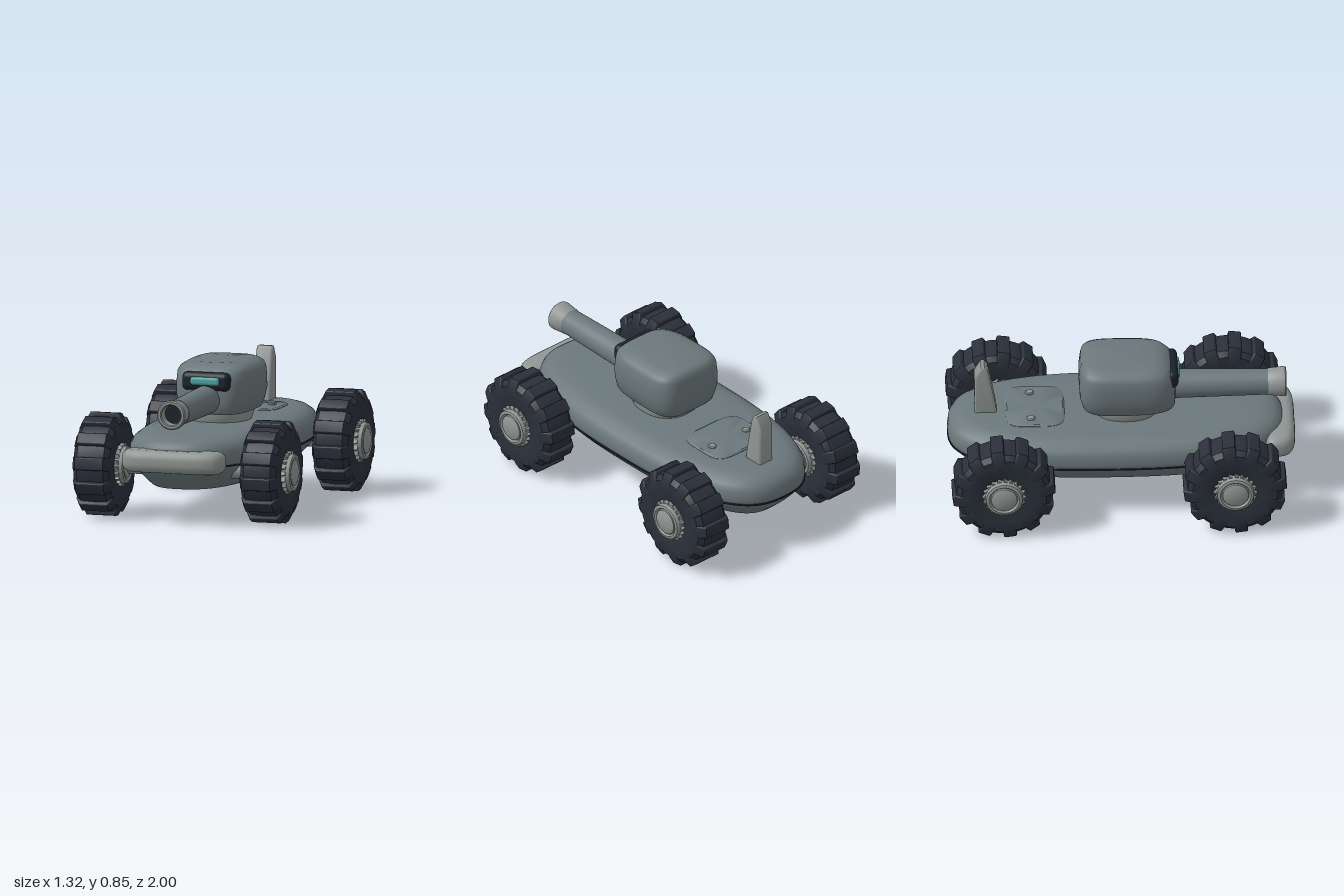
import * as THREE from 'three';
import { toCreasedNormals } from 'three/addons/utils/BufferGeometryUtils.js';
import { RoundedBoxGeometry } from 'three/addons/geometries/RoundedBoxGeometry.js';

const mat = (color) => new THREE.MeshStandardMaterial({ color });
const HULL = mat(0x6b787b), LIGHT = mat(0x8f9693), DARK = mat(0x1c232b), RUBBER = mat(0x2a303a), GLASS = mat(0x4fa8a3);

function add(parent, name, geometry, material, x = 0, y = 0, z = 0) {
  const mesh = new THREE.Mesh(geometry, material);
  mesh.name = name;
  mesh.position.set(x, y, z);
  parent.add(mesh);
  return mesh;
}

// Stacked superellipse rings [y, halfX, halfZ, centreZ], closed at both ends
function loft(rings, power, crease = 0.6, seg = 64) {
  const pos = [], idx = [];
  for (const [y, hx, hz, cz] of rings) {
    for (let i = 0; i < seg; i++) {
      const a = (i / seg) * Math.PI * 2, c = Math.cos(a), s = Math.sin(a);
      pos.push(hx * Math.sign(c) * Math.abs(c) ** (2 / power), y, cz + hz * Math.sign(s) * Math.abs(s) ** (2 / power));
    }
  }
  const last = (rings.length - 1) * seg, low = rings.length * seg, high = low + 1;
  pos.push(0, rings[0][0], rings[0][3], 0, rings.at(-1)[0], rings.at(-1)[3]);
  for (let i = 0; i < seg; i++) {
    const k = (i + 1) % seg;
    for (let j = 0; j < last; j += seg) {
      idx.push(j + i, j + seg + i, j + k, j + k, j + seg + i, j + seg + k);
    }
    idx.push(low, i, k, high, last + k, last + i);
  }
  const g = new THREE.BufferGeometry();
  g.setAttribute('position', new THREE.Float32BufferAttribute(pos, 3));
  g.setIndex(idx);
  return toCreasedNormals(g, crease);
}

function lathe(points, seg = 40) {
  return toCreasedNormals(new THREE.LatheGeometry(points.map(([r, y]) => new THREE.Vector2(r, y)), seg), 0.6);
}

// Extrusion centred on its depth, including the bevel
function slab(points, depth, bevel = 0, curved = false) {
  const v = points.map(([x, y]) => new THREE.Vector2(x, y));
  const shape = new THREE.Shape(curved ? new THREE.CatmullRomCurve3(v.map((p) => new THREE.Vector3(p.x, p.y, 0)), true)
    .getPoints(40).slice(0, -1).map((p) => new THREE.Vector2(p.x, p.y)) : v);
  const g = new THREE.ExtrudeGeometry(shape, {
    depth: depth - 2 * bevel, bevelEnabled: bevel > 0, bevelSize: bevel, bevelThickness: bevel, bevelOffset: -bevel, bevelSegments: 4,
  });
  g.translate(0, 0, -(depth - 2 * bevel) / 2);
  return toCreasedNormals(g, 0.7);
}

function makeWheel() {
  const wheel = new THREE.Group();
  // Tyre carcass
  const tyre = lathe([[0.09, -0.09], [0.13, -0.1], [0.2, -0.11], [0.245, -0.108], [0.272, -0.08], [0.276, 0],
    [0.272, 0.08], [0.245, 0.108], [0.2, 0.11], [0.13, 0.1], [0.09, 0.09]], 48);
  add(wheel, 'tyre', tyre.rotateZ(-Math.PI / 2), RUBBER);
  // Tread blocks
  const block = slab([[-0.11, 0.2], [0.11, 0.2], [0.11, 0.25], [0.085, 0.296], [-0.085, 0.296], [-0.11, 0.25]], 0.075, 0.008);
  for (let i = 0; i < 12; i++) {
    add(wheel, 'treadBlock', block, RUBBER).rotation.x = (i / 12) * Math.PI * 2 + 0.13;
  }
  // Hub with a ratchet-toothed disc on each face
  const hub = lathe([[0, -0.155], [0.05, -0.153], [0.074, -0.143], [0.078, -0.135], [0.088, -0.146], [0.104, -0.142], [0.108, -0.13],
    [0.108, 0.13], [0.104, 0.142], [0.088, 0.146], [0.078, 0.135], [0.074, 0.143], [0.05, 0.153], [0, 0.155]]);
  add(wheel, 'hub', hub.rotateZ(-Math.PI / 2), LIGHT);
  const teeth = [];
  for (let i = 0; i < 20; i++) {
    const a = (i / 20) * Math.PI * 2;
    teeth.push([0.125 * Math.cos(a), 0.125 * Math.sin(a)], [0.102 * Math.cos(a + 0.05), 0.102 * Math.sin(a + 0.05)]);
  }
  const disc = slab(teeth, 0.24).rotateY(Math.PI / 2);
  add(wheel, 'toothedDisc', disc, LIGHT);
  return wheel;
}

export function createModel() {
  const model = new THREE.Group();

  // Hull, rounded in plan, with a dark seam around its widest level
  const hullRings = [[0.195, 0.14], [0.203, 0.125], [0.25, 0.075], [0.3, 0.03], [0.34, 0.004], [0.37, 0],
    [0.42, 0.006], [0.455, 0.025], [0.48, 0.06], [0.494, 0.11], [0.5, 0.18]]
    .map(([y, inset]) => [y, 0.425 - inset, 0.97 - inset, -0.028]);
  add(model, 'hull', loft(hullRings, 2.6, 0.9, 96), HULL);
  add(model, 'hullSeam', loft([[0.335, 0.426, 0.971, -0.028], [0.345, 0.426, 0.971, -0.028]], 2.6, 0.6, 96), DARK);

  // Rear deck hatch with two bolts
  add(model, 'hatch', loft([[0.48, 0.205, 0.17, -0.495], [0.502, 0.205, 0.17, -0.495], [0.509, 0.195, 0.16, -0.495]], 4.5), HULL);
  for (const s of [-1, 1]) {
    add(model, 'hatchBolt', lathe([[0.025, 0], [0.024, 0.008], [0.018, 0.013], [0, 0.014]], 20), LIGHT, s * 0.13, 0.506, -0.52);
  }

  // Upright rear fin
  const fin = slab([[-0.84, 0.47], [-0.71, 0.47], [-0.722, 0.56], [-0.765, 0.785], [-0.785, 0.808], [-0.805, 0.808], [-0.843, 0.74]], 0.1, 0.014);
  add(model, 'rearFin', fin.rotateY(-Math.PI / 2), LIGHT);

  // Curved front bumper
  const bumper = slab([[-0.25, 0.825], [0, 0.84], [0.25, 0.825], [0.3, 0.85], [0.302, 0.93], [0.26, 0.98],
    [0, 0.998], [-0.26, 0.98], [-0.302, 0.93], [-0.3, 0.85]], 0.13, 0.048, true);
  add(model, 'bumper', bumper.rotateX(Math.PI / 2), LIGHT, 0, 0.37, 0);

  // Turret on its collar
  add(model, 'turretCollar', loft([[0.49, 0.17, 0.185, 0.03], [0.51, 0.175, 0.19, 0.03], [0.53, 0.182, 0.197, 0.03], [0.57, 0.182, 0.197, 0.03]], 2.3), LIGHT);
  const turretRings = [[0.56, 0.2, 0.262, 0.045], [0.568, 0.206, 0.268, 0.044], [0.62, 0.222, 0.276, 0.038], [0.67, 0.233, 0.277, 0.036],
    [0.74, 0.231, 0.274, 0.034], [0.795, 0.226, 0.264, 0.03], [0.82, 0.212, 0.249, 0.02], [0.838, 0.182, 0.224, 0.01], [0.847, 0.15, 0.195, 0]];
  const turret = loft(turretRings, 4.2, 0.9);
  // Narrow the turret towards its front
  const p = turret.attributes.position;
  for (let i = 0; i < p.count; i++) p.setX(i, p.getX(i) * (1 - 0.12 * Math.max(0, p.getZ(i) / 0.3) ** 2));
  add(model, 'turret', turret, HULL);

  // Visor and its lit slot
  add(model, 'visor', new RoundedBoxGeometry(0.29, 0.108, 0.07, 5, 0.034), DARK, 0, 0.75, 0.293);
  add(model, 'visorLight', new RoundedBoxGeometry(0.178, 0.05, 0.04, 4, 0.018), GLASS, 0, 0.754, 0.319);

  // Cannon: barrel, flared muzzle and dark bore
  const cannon = new THREE.Group();
  cannon.name = 'cannon';
  cannon.position.y = 0.643;
  model.add(cannon);
  add(cannon, 'barrel', lathe([[0, 0.2], [0.084, 0.2], [0.084, 0.33], [0.075, 0.85], [0, 0.85]]).rotateX(Math.PI / 2), HULL);
  add(cannon, 'muzzle', lathe([[0.07, 0.84], [0.078, 0.85], [0.086, 0.93], [0.085, 0.945], [0.078, 0.952], [0.064, 0.952],
    [0.058, 0.945], [0.056, 0.87]]).rotateX(Math.PI / 2), LIGHT);
  add(cannon, 'bore', new THREE.CircleGeometry(0.058, 32), DARK, 0, 0, 0.885);

  // Four wheels and two axles
  for (const [end, z] of [['front', 0.638], ['rear', -0.692]]) {
    add(model, end + 'Axle', new THREE.CylinderGeometry(0.05, 0.05, 0.9, 20).rotateZ(Math.PI / 2), LIGHT, 0, 0.297, z);
    for (const s of [-1, 1]) {
      const wheel = makeWheel();
      wheel.name = end + (s > 0 ? 'Left' : 'Right') + 'Wheel';
      wheel.position.set(s * 0.505, 0.297, z);
      if (s < 0) wheel.rotation.y = Math.PI;
      model.add(wheel);
    }
  }
  return model;
}
